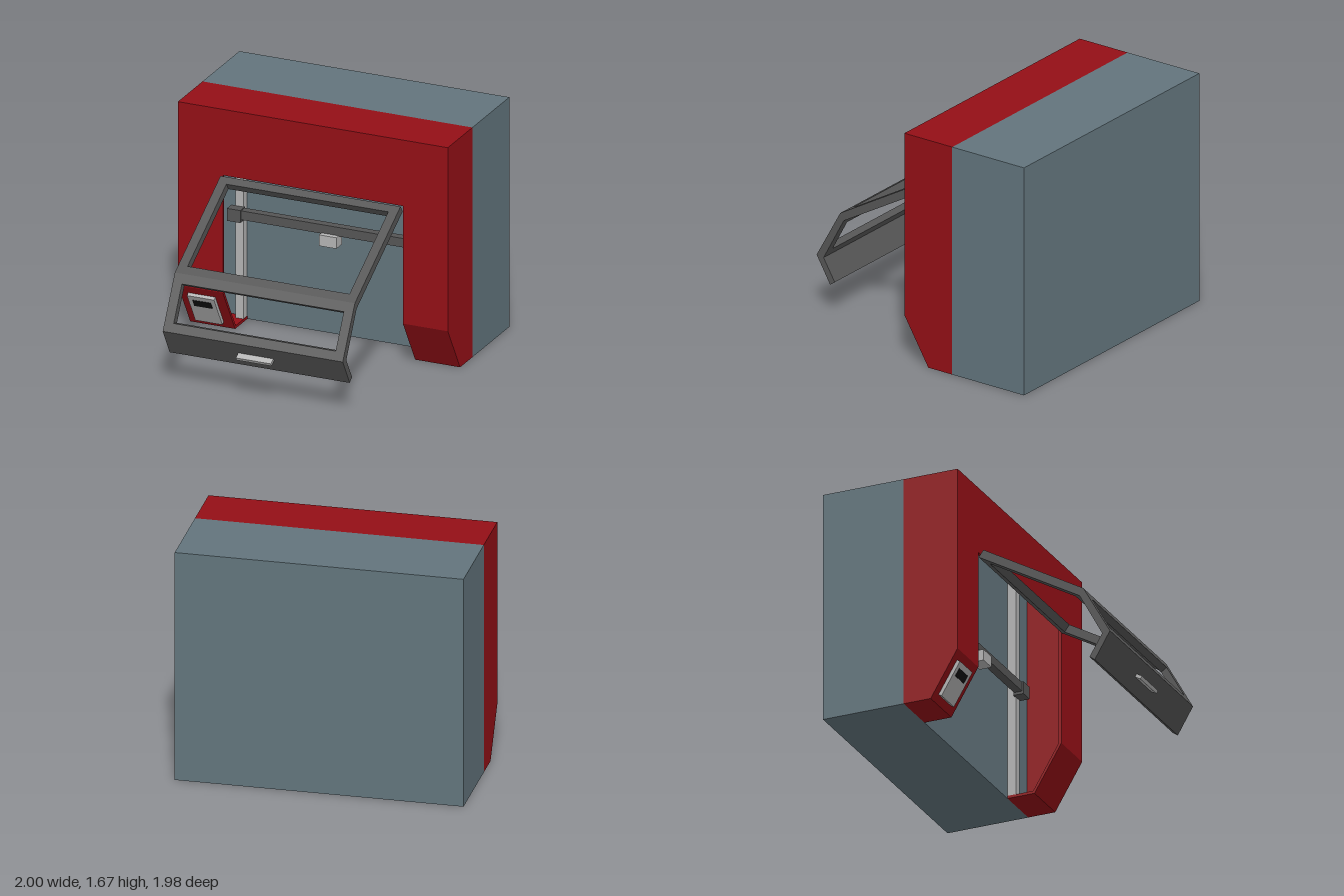
import * as THREE from 'three';

const mat = (color) => new THREE.MeshStandardMaterial({ color, flatShading: true });
const RED = mat(0x930f16), BLUE = mat(0x62747c), DARK = mat(0x555555);
const LIGHT = mat(0xb4b4b4), BLACK = mat(0x111111);

// Side profile of [z, y] points, extruded along x from x0 to x1
function profile(name, pts, x0, x1, material) {
  const shape = new THREE.Shape(pts.map(([z, y]) => new THREE.Vector2(-z, y)));
  const geo = new THREE.ExtrudeGeometry(shape, { depth: x1 - x0, bevelEnabled: false });
  geo.rotateY(Math.PI / 2).translate(x0, 0, 0);
  const mesh = new THREE.Mesh(geo, material);
  mesh.name = name;
  return mesh;
}

// Box given by its min and max corners
function box(name, a, b, material) {
  const mesh = new THREE.Mesh(new THREE.BoxGeometry(b[0] - a[0], b[1] - a[1], b[2] - a[2]), material);
  mesh.position.set((a[0] + b[0]) / 2, (a[1] + b[1]) / 2, (a[2] + b[2]) / 2);
  mesh.name = name;
  return mesh;
}

export function createModel() {
  const model = new THREE.Group();
  model.name = 'machine';

  // Rear cabinet
  model.add(box('rearCabinet', [-1, 0, -0.99], [1, 1.67, -0.39], BLUE));

  // Hollow front housing: side plates, leg skins and the lintel over the opening
  const housing = new THREE.Group();
  housing.name = 'frontHousing';
  const outer = [[-0.39, 1.67], [0.01, 1.67], [0.01, 0.335], [-0.19, 0], [-0.39, 0]];
  const inner = [[-0.39, 0.02], [-0.2, 0.02], [-0.01, 0.34], [-0.01, 1.65], [-0.39, 1.65]];
  for (const [side, plate, leg] of [['left', [0.98, 1], [0.667, 0.98]], ['right', [-1, -0.98], [-0.98, -0.667]]]) {
    housing.add(profile(side + 'SidePlate', outer, ...plate, RED));
    housing.add(profile(side + 'LegSkin', [...outer, ...inner], ...leg, RED));
  }
  housing.add(profile('lintel', [[-0.39, 1.67], [0.01, 1.67], [0.01, 1.19], [-0.01, 1.19], [-0.01, 1.65], [-0.39, 1.65]],
    -0.667, 0.667, RED));
  model.add(housing);

  // Inner gantry: two upright rails, carriages, cross beam and head
  const gantry = new THREE.Group();
  gantry.name = 'gantry';
  for (const s of [-1, 1]) {
    const x = s * 0.7;
    gantry.add(box('uprightRail', [x - 0.03, 0.02, -0.39], [x + 0.03, 1.6, -0.33], LIGHT));
    gantry.add(box('carriage', [x - 0.06, 0.745, -0.335], [x + 0.04, 0.835, -0.26], DARK));
  }
  gantry.add(box('crossBeam', [-0.67, 0.765, -0.33], [0.67, 0.83, -0.27], DARK));
  gantry.add(box('head', [-0.065, 0.69, -0.32], [0.065, 0.77, -0.23], LIGHT));
  model.add(gantry);

  // Folded open door: bent side bars with cross bars between them
  const door = new THREE.Group();
  door.name = 'door';
  const top = [0.048, 1.2], bend = [0.79, 0.77], knee = [0.988, 0.415], tip = [0.875, 0.222];
  const topIn = [0.013, 1.152], bendIn = [0.762, 0.72], kneeIn = [0.93, 0.407], tipIn = [0.836, 0.25];
  const lerp = (a, b, t) => [a[0] + (b[0] - a[0]) * t, a[1] + (b[1] - a[1]) * t];
  const arm = [top, bend, knee, tip, tipIn, kneeIn, bendIn, topIn];
  door.add(profile('leftSideBar', arm, 0.6, 0.667, DARK));
  door.add(profile('rightSideBar', arm, -0.667, -0.6, DARK));
  const bars = {
    topBar: [top, lerp(top, bend, 0.07), lerp(topIn, bendIn, 0.07), topIn],
    middleBar: [lerp(top, bend, 0.92), bend, lerp(bend, knee, 0.17),
      lerp(bendIn, kneeIn, 0.12), bendIn, lerp(topIn, bendIn, 0.92)],
    lowerPanel: [lerp(bend, knee, 0.84), knee, tip, tipIn, kneeIn, lerp(bendIn, kneeIn, 0.84)],
  };
  for (const [name, pts] of Object.entries(bars)) door.add(profile(name, pts, -0.6, 0.6, DARK));
  const handle = box('handle', [-0.13, 0.298, 0.925], [0.13, 0.322, 0.975], LIGHT);
  handle.rotation.x = 0.53;
  door.add(handle);
  model.add(door);

  // Control terminal on the sloped face of the right leg
  const terminal = new THREE.Group();
  terminal.name = 'controlTerminal';
  terminal.add(box('terminalCase', [-0.1, -0.134, -0.005], [0.1, 0.134, 0.026], LIGHT));
  terminal.add(box('terminalScreen', [-0.068, 0.034, 0.02], [0.068, 0.094, 0.029], BLACK));
  terminal.position.set(-0.838, 0.165, -0.0915);
  terminal.rotation.x = 0.539;
  model.add(terminal);

  return model;
}
